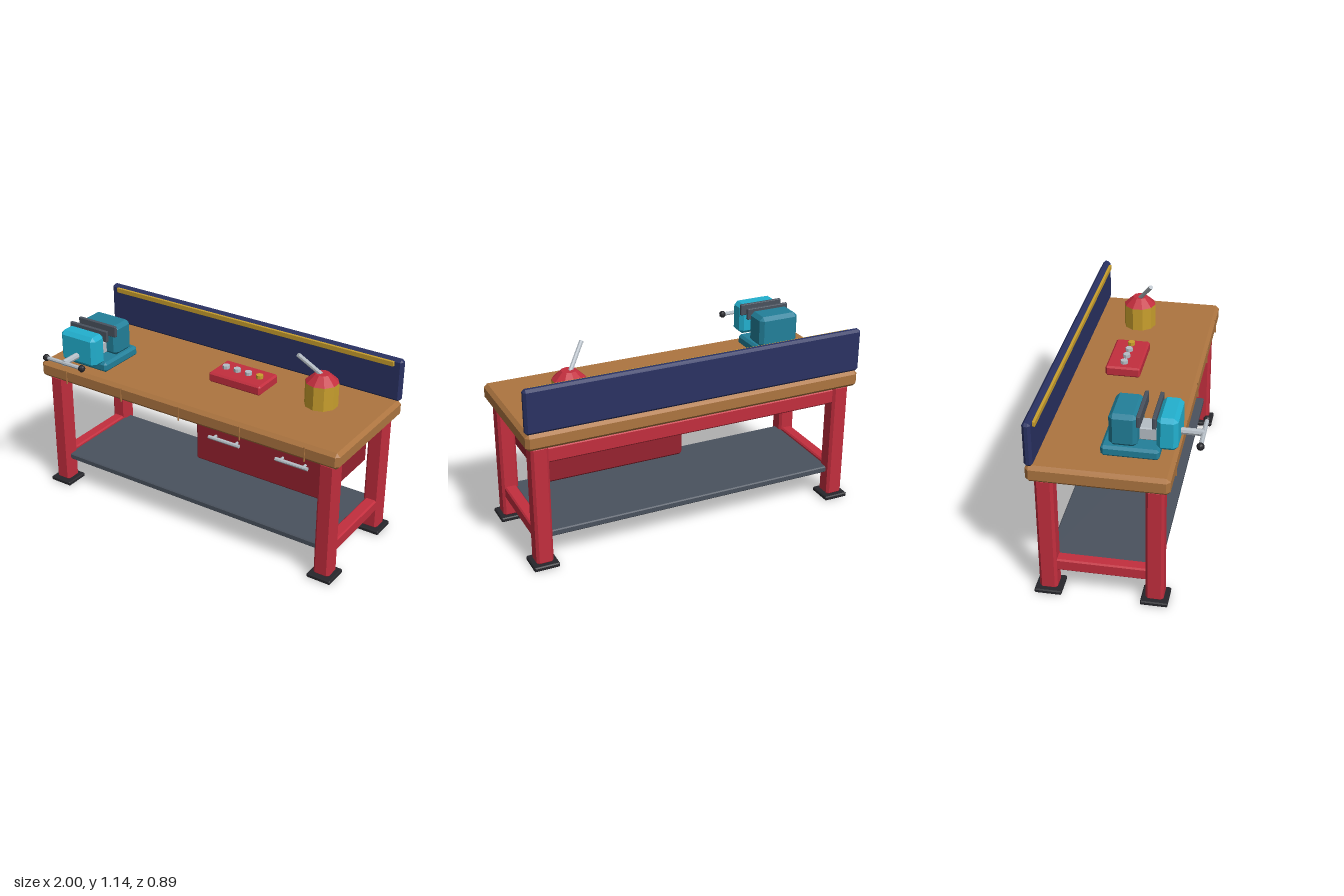
import * as THREE from 'three';
import { ConvexGeometry } from 'three/addons/geometries/ConvexGeometry.js';

const mat = (name, color) => {
  const m = new THREE.MeshStandardMaterial({ color, flatShading: true });
  m.name = name;
  return m;
};

export function createModel() {
  const red = mat('frame red', 0xc32e3e);
  const darkRed = mat('drawer dark red', 0x97222f);
  const wood = mat('wood', 0xad7540);
  const navy = mat('navy', 0x2a3263);
  const yellow = mat('yellow', 0xc99f2d);
  const teal = mat('dark teal', 0x22809a);
  const cyan = mat('light teal', 0x22b0cf);
  const steel = mat('light steel', 0xb6bec6);
  const black = mat('rubber black', 0x26262b);
  const slate = mat('slate grey', 0x4a525e);

  const model = new THREE.Group();
  model.name = 'workbench';
  const group = (name) => {
    const g = new THREE.Group();
    g.name = name;
    model.add(g);
    return g;
  };
  const add = (parent, name, geometry, material) => {
    const mesh = new THREE.Mesh(geometry, material);
    mesh.name = name;
    parent.add(mesh);
    return mesh;
  };

  // Box between [min, max] ranges with every edge chamfered by c
  const block = (parent, name, material, [x0, x1], [y0, y1], [z0, z1], c = 0.01) => {
    const h = [(x1 - x0) / 2, (y1 - y0) / 2, (z1 - z0) / 2];
    const points = [];
    for (let axis = 0; axis < 3; axis++)
      for (const sx of [-1, 1]) for (const sy of [-1, 1]) for (const sz of [-1, 1]) {
        const p = [sx, sy, sz].map((s, i) => s * (i === axis ? h[i] : h[i] - c));
        points.push(new THREE.Vector3(...p));
      }
    const mesh = add(parent, name, new ConvexGeometry(points), material);
    mesh.position.set((x0 + x1) / 2, (y0 + y1) / 2, (z0 + z1) / 2);
    return mesh;
  };

  // Round bar between two points
  const rod = (parent, name, material, a, b, r, sides = 8) => {
    const from = new THREE.Vector3(...a), to = new THREE.Vector3(...b);
    const dir = to.clone().sub(from);
    const mesh = add(parent, name, new THREE.CylinderGeometry(r, r, dir.length(), sides), material);
    mesh.position.copy(from).add(to).multiplyScalar(0.5);
    mesh.quaternion.setFromUnitVectors(new THREE.Vector3(0, 1, 0), dir.normalize());
    return mesh;
  };

  // Legs, feet and rails
  const frame = group('frame');
  for (const x of [-0.914, 0.914]) {
    for (const z of [0.217, -0.36]) {
      block(frame, 'leg', red, [x - 0.049, x + 0.049], [0.02, 0.73], [z - 0.049, z + 0.049], 0.014);
      block(frame, 'foot', black, [x - 0.073, x + 0.073], [0, 0.026], [z - 0.074, z + 0.074], 0.006);
    }
    block(frame, 'sideRail', red, [x - 0.035, x + 0.035], [0.142, 0.213], [-0.32, 0.18], 0.008);
  }
  block(frame, 'backRail', red, [-0.88, 0.88], [0.622, 0.714], [-0.395, -0.325], 0.01);
  block(frame, 'lowerShelf', slate, [-0.88, 0.88], [0.163, 0.2], [-0.375, 0.235], 0.006);

  // Worktop with thin seams on the front edge
  const top = group('worktop');
  block(top, 'tabletop', wood, [-0.998, 0.998], [0.729, 0.826], [-0.446, 0.3], 0.02);
  for (let i = -2; i <= 2; i++)
    block(top, 'seam', wood, [i * 0.4 - 0.003, i * 0.4 + 0.003], [0.727, 0.815], [0.296, 0.305], 0.001);

  // Back panel with its yellow strip
  const back = group('backPanel');
  block(back, 'panel', navy, [-0.998, 0.998], [0.825, 1.077], [-0.446, -0.4], 0.014);
  block(back, 'toolStrip', yellow, [-0.95, 0.95], [1.037, 1.067], [-0.402, -0.387], 0.002);

  // Drawer unit with two bar handles
  const drawer = group('drawer');
  block(drawer, 'drawerBox', darkRed, [0.053, 0.866], [0.456, 0.727], [-0.31, 0.205], 0.012);
  for (const x of [0.26, 0.69]) {
    rod(drawer, 'handle', steel, [x - 0.1, 0.645, 0.237], [x + 0.1, 0.645, 0.237], 0.011);
    for (const s of [-0.07, 0.07])
      rod(drawer, 'handlePost', steel, [x + s, 0.645, 0.2], [x + s, 0.645, 0.237], 0.008);
  }

  // Bench vise
  const vise = group('vise');
  const vx = -0.703;
  const span = (half) => [vx - half, vx + half];
  block(vise, 'viseBase', teal, span(0.133), [0.825, 0.886], [-0.088, 0.217], 0.014);
  block(vise, 'rearJaw', teal, span(0.124), [0.884, 1.07], [-0.047, 0.102], 0.022);
  block(vise, 'frontJaw', cyan, span(0.124), [0.884, 1.07], [0.199, 0.309], 0.022);
  block(vise, 'rearJawPlate', slate, span(0.134), [1.014, 1.08], [0.1, 0.12], 0.003);
  block(vise, 'frontJawPlate', slate, span(0.134), [1.014, 1.08], [0.18, 0.2], 0.003);
  block(vise, 'slideBar', steel, span(0.052), [0.895, 0.967], [0.08, 0.22], 0.006);
  rod(vise, 'screw', steel, [vx, 0.94, 0.29], [vx, 0.94, 0.428], 0.019);
  rod(vise, 'viseHandle', steel, [vx - 0.13, 0.94, 0.425], [vx + 0.13, 0.94, 0.425], 0.012);
  for (const s of [-1, 1])
    add(vise, 'handleKnob', new THREE.SphereGeometry(0.021, 8, 6), black).position.set(vx + s * 0.13, 0.94, 0.425);

  // Tray with a row of sockets
  const tray = group('socketTray');
  block(tray, 'tray', red, [-0.022, 0.322], [0.825, 0.885], [-0.228, -0.03], 0.01);
  for (let i = 0; i < 4; i++) {
    const socket = add(tray, 'socket', new THREE.CylinderGeometry(0.021, 0.021, 0.03, 8), i < 3 ? steel : yellow);
    socket.position.set(0.035 + i * 0.075, 0.89, -0.129);
  }

  // Oil can with a slanted spout
  const can = group('oilCan');
  add(can, 'canBody', new THREE.CylinderGeometry(0.095, 0.095, 0.141, 10), yellow).position.set(0.647, 0.8955, -0.148);
  add(can, 'canCone', new THREE.CylinderGeometry(0.042, 0.095, 0.048, 10), red).position.set(0.647, 0.99, -0.148);
  rod(can, 'spout', steel, [0.647, 0.995, -0.155], [0.538, 1.13, -0.062], 0.013);

  return model;
}
